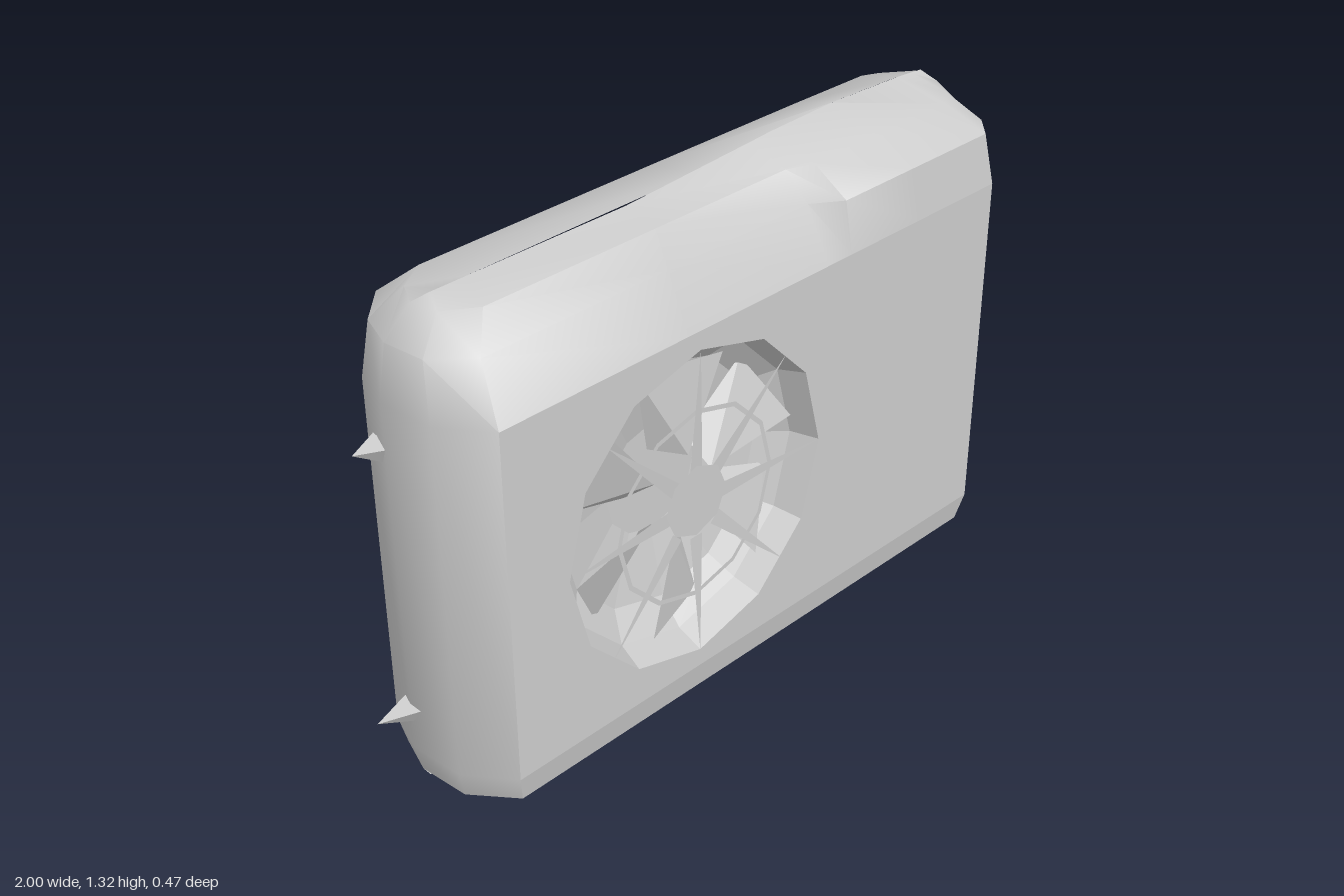
import * as THREE from 'three';
import { toCreasedNormals } from 'three/addons/utils/BufferGeometryUtils.js';

const grey = new THREE.MeshStandardMaterial({ color: 0xcccccc });
const thin = new THREE.MeshStandardMaterial({ color: 0xcccccc, side: THREE.DoubleSide, flatShading: true });

function named(name, geometry, material = grey) {
  const mesh = new THREE.Mesh(geometry, material);
  mesh.name = name;
  return mesh;
}

// Geometry from corner points and triangle indices
function fromPoints(points, index) {
  const g = new THREE.BufferGeometry();
  g.setAttribute('position', new THREE.Float32BufferAttribute(points.flat(), 3));
  g.setIndex(index);
  g.computeVertexNormals();
  return g;
}

// Plan outline [x, z]: right side, back, left side, then along the front
const FRONT = 12; // index of the first front corner
const outline = [
  [-0.8, 0.235], [-0.89, 0.12], [-0.905, -0.03], [-0.87, -0.14], [-0.78, -0.235],
  [0, -0.24], [0.55, -0.24], [0.82, -0.235], [0.87, -0.2], [0.93, -0.08], [0.945, 0.05], [0.9, 0.17],
  [0.84, 0.235], [0.55, 0.235], [0.3, 0.235], [0.22, 0.235], [-0.25, 0.235],
];

// Levels: height, x scale, z scale, z scale of the sloped front over the fan
const levels = [
  [0, 0.98, 0, 0], [0, 0.98, 0.93, 0.93], [0.08, 1, 1, 1], [1.05, 1, 1, 1],
  [1.19, 0.975, 0.92, 0.7], [1.265, 0.9, 0.56, 0.45], [1.28, 0.86, 0, 0],
];

function bodyGeometry() {
  const n = outline.length, points = [], index = [];
  levels.forEach(([y, sx, sz, slope], i) => {
    for (const [x, z] of outline) {
      const crown = i === 6 ? 0.035 * Math.max(0, 1 - ((x - 0.55) / 0.6) ** 2) : 0;
      points.push([x * sx, y + crown, z * (z > 0 && x < 0.25 ? slope : sz)]);
    }
  });
  for (let i = 0; i < levels.length - 1; i++) {
    for (let j = 0; j < n; j++) {
      if (i === 2 && j >= FRONT) continue; // left open for the front panel
      const k = (j + 1) % n, a = i * n + j, b = i * n + k;
      index.push(a, a + n, b + n, a, b + n, b);
    }
  }
  return toCreasedNormals(fromPoints(points, index), 0.7);
}

const FAN = { x: -0.21, y: 0.565, rx: 0.415, ry: 0.435, sides: 12 };

// Point on the fan opening at fraction r of its radius
function onFan(angle, r, z) {
  return [FAN.x + Math.cos(angle) * r * FAN.rx, FAN.y + Math.sin(angle) * r * FAN.ry, z];
}

function panelGeometry() {
  const shape = new THREE.Shape([[-0.8, 0.08], [0.84, 0.08], [0.84, 1.05], [-0.8, 1.05]]
    .map(p => new THREE.Vector2(...p)));
  const rim = [];
  for (let i = 0; i < FAN.sides; i++) {
    const [x, y] = onFan(-i / FAN.sides * Math.PI * 2, 1, 0);
    rim.push(new THREE.Vector2(x, y));
  }
  shape.holes.push(new THREE.Path(rim));
  return new THREE.ShapeGeometry(shape).translate(0, 0, 0.235);
}

function createFan() {
  const fan = new THREE.Group();
  fan.name = 'fan';

  // Recessed bowl behind the opening
  const profile = [[0, 0.06], [0.35, 0.06], [0.78, 0.1], [0.94, 0.16], [1, 0.235]]
    .map(p => new THREE.Vector2(...p));
  const bowl = new THREE.LatheGeometry(profile, FAN.sides).rotateX(Math.PI / 2)
    .scale(FAN.rx, FAN.ry, 1).translate(FAN.x, FAN.y, 0);
  fan.add(named('fanBowl', bowl, thin));

  // Tilted blades
  for (let i = 0; i < 6; i++) {
    const a = i / 6 * Math.PI * 2 + 0.3;
    const blade = fromPoints([onFan(a, 0.25, 0.17), onFan(a - 0.1, 0.88, 0.19),
      onFan(a + 0.5, 0.85, 0.12), onFan(a + 0.6, 0.3, 0.1)], [0, 1, 2, 0, 2, 3]);
    fan.add(named('fanBlade', blade, thin));
  }

  // Grille spokes, narrowing towards the rim
  for (let i = 0; i < 8; i++) {
    const a = i / 8 * Math.PI * 2;
    const spoke = fromPoints([onFan(a - 0.22, 0.22, 0.22), onFan(a, 1, 0.235),
      onFan(a + 0.22, 0.22, 0.22)], [0, 1, 2]);
    fan.add(named('grilleSpoke', spoke, thin));
  }

  // Grille ring and hub
  const ring = new THREE.RingGeometry(0.59, 0.62, FAN.sides).scale(FAN.rx, FAN.ry, 1);
  fan.add(named('grilleRing', ring.translate(FAN.x, FAN.y, 0.222), thin));
  const hub = new THREE.CircleGeometry(0.1, 8).translate(FAN.x, FAN.y + 0.01, 0.221);
  fan.add(named('grilleHub', hub, thin));
  return fan;
}

export function createModel() {
  const model = new THREE.Group();
  model.name = 'fanUnit';
  model.add(named('body', bodyGeometry()), named('frontPanel', panelGeometry()), createFan());

  // Bulging pipe cover low on the left side
  model.add(named('pipeCover', fromPoints([
    [0.94, 0.49, 0.04], [1, 0.32, -0.06], [1, 0.17, -0.03], [0.92, 0.01, -0.12], [0.935, 0.1, 0.03],
  ], [0, 2, 1, 1, 2, 3, 0, 4, 2, 2, 4, 3]), thin));

  // Small pointed lugs on the right side
  for (const [y, tip, z] of [[0.2, -1, -0.03], [0.92, -0.97, -0.06]]) {
    model.add(named('sideLug', fromPoints([
      [tip, y + 0.01, z], [-0.89, y + 0.02, z - 0.03], [-0.89, y - 0.04, z + 0.01], [-0.89, y + 0.01, z + 0.04],
    ], [0, 1, 2, 0, 2, 3, 0, 3, 1]), thin));
  }
  return model;
}
